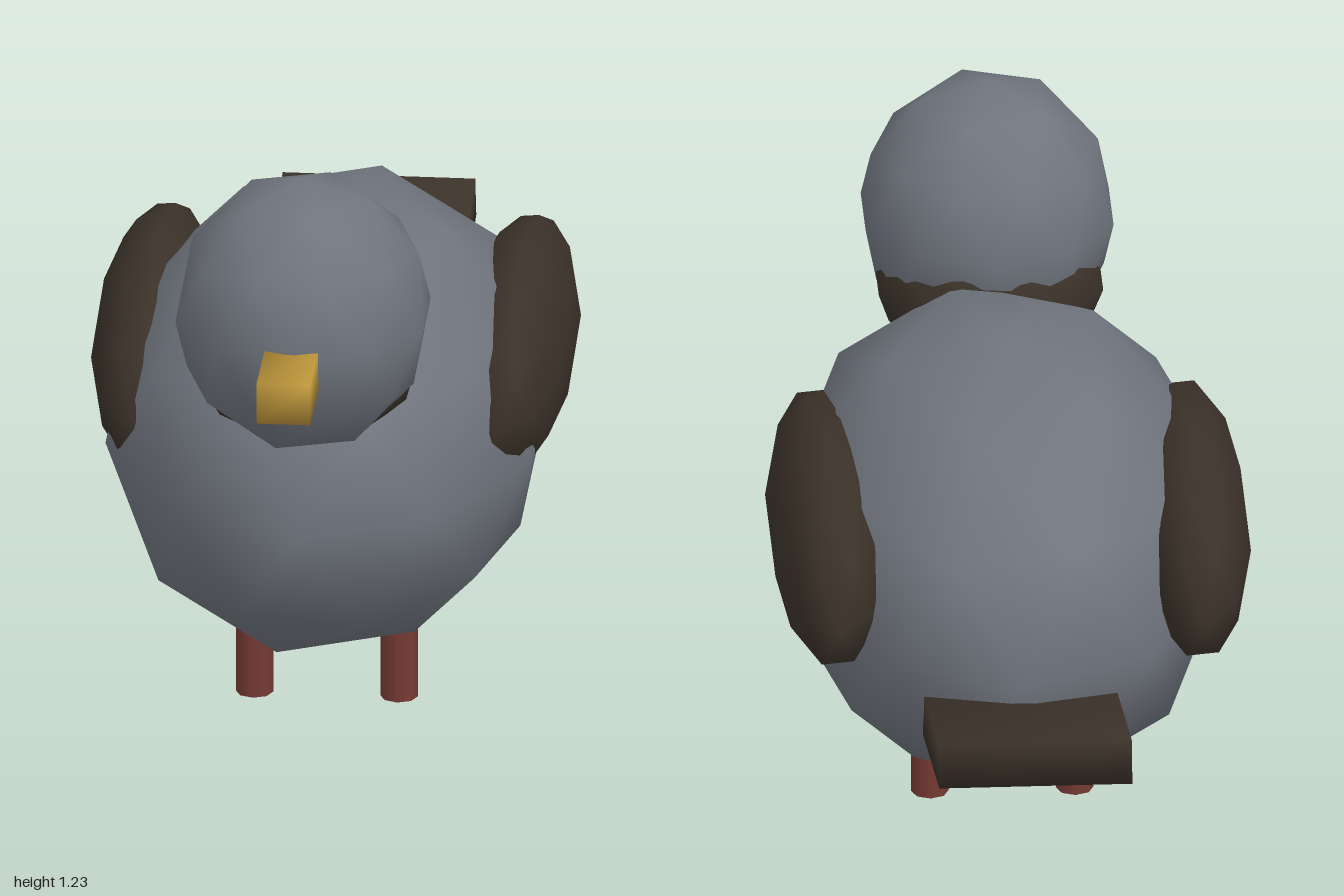
import * as THREE from 'three';
import { mergeVertices } from 'three/addons/utils/BufferGeometryUtils.js';

const material = (name, color) => {
  const m = new THREE.MeshStandardMaterial({ color });
  m.name = name;
  return m;
};

// Low-poly ball with a corner at the top and one ring corner towards +x
function ballGeometry() {
  const g = new THREE.IcosahedronGeometry(1, 1);
  g.rotateX(-Math.atan((1 + Math.sqrt(5)) / 2));
  g.rotateY(Math.PI / 2);
  return g;
}

// Box with shared corners, so its shading is smooth
function softBox(w, h, d) {
  const g = new THREE.BoxGeometry(w, h, d);
  g.deleteAttribute('normal');
  g.deleteAttribute('uv');
  const merged = mergeVertices(g);
  merged.computeVertexNormals();
  return merged;
}

export function createModel() {
  const bird = new THREE.Group();
  bird.name = 'bird';
  const grey = material('grey feathers', 0x70757e);
  const dark = material('dark feathers', 0x3b3229);
  const gold = material('beak gold', 0xbb943a);
  const red = material('leg red', 0x763a34);

  const add = (name, geometry, mat, position, scale = [1, 1, 1]) => {
    const mesh = new THREE.Mesh(geometry, mat);
    mesh.name = name;
    mesh.position.set(...position);
    mesh.scale.set(...scale);
    bird.add(mesh);
    return mesh;
  };

  // Body, neck band and head
  const ball = ballGeometry();
  add('body', ball, grey, [0, 0.55, 0.05], [0.42, 0.42, 0.67]);
  add('neckBand', ball, dark, [0, 0.85, 0.53], [0.22, 0.16, 0.215]);
  add('head', ball, grey, [0, 0.962, 0.591], [0.243, 0.265, 0.265]);

  // Beak
  add('beak', softBox(0.1, 0.08, 0.22), gold, [0, 0.935, 0.89]);

  // Tail, rising towards the back
  const tail = add('tail', softBox(0.36, 0.083, 0.55), dark, [0, 0.499, -0.723]);
  tail.rotation.x = THREE.MathUtils.degToRad(15);

  // Wings and legs on both sides
  const leg = new THREE.CylinderGeometry(0.035, 0.035, 0.26, 8);
  for (const [side, s] of [['left', 1], ['right', -1]]) {
    add(side + 'Wing', ball, dark, [0.34 * s, 0.64, -0.09], [0.11, 0.19, 0.475]);
    add(side + 'Leg', leg, red, [0.135 * s, 0.13, 0.1]);
  }
  return bird;
}
